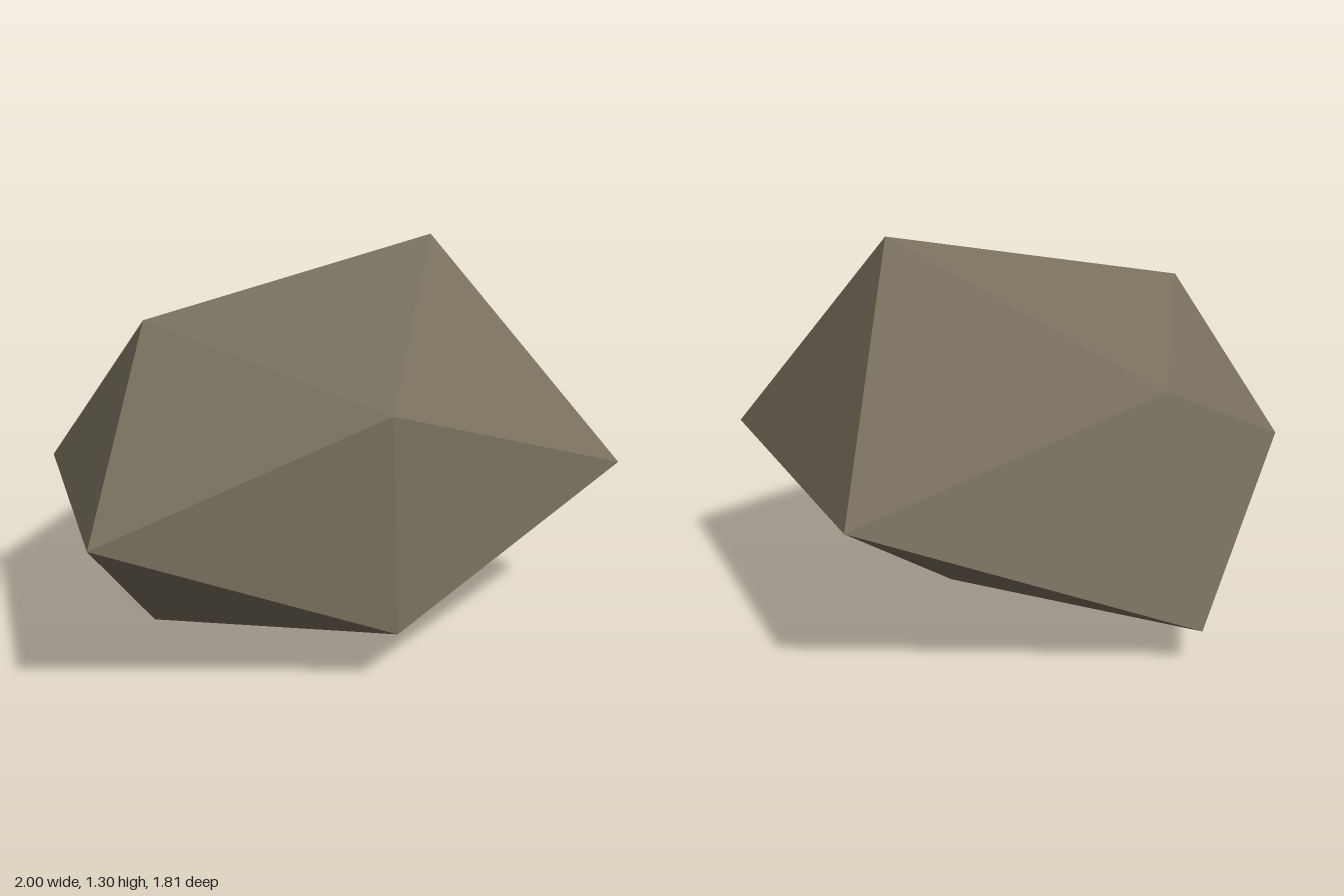
import * as THREE from 'three';

// A boulder: a squashed icosahedron whose corners are pushed in or out by their own radius.
const T = (1 + Math.sqrt(5)) / 2;
const CENTRE = new THREE.Vector3(-0.082, 0.537, 0.066);
const SQUASH = 0.7;

// Corner direction and its radius factor
const CORNERS = [
  [-1, T, 0, 0.485], [1, T, 0, 0.679], [-1, -T, 0, 0.473], [1, -T, 0, 0.467],
  [0, -1, T, 0.515], [0, 1, T, 0.482], [0, -1, -T, 0.602], [0, 1, -T, 0.45],
  [T, 0, -1, 0.665], [T, 0, 1, 0.656], [-T, 0, -1, 0.419], [-T, 0, 1, 0.568],
];

const FACES = [
  0, 11, 5, 0, 5, 1, 0, 1, 7, 0, 7, 10, 0, 10, 11,
  1, 5, 9, 5, 11, 4, 11, 10, 2, 10, 7, 6, 7, 1, 8,
  3, 9, 4, 3, 4, 2, 3, 2, 6, 3, 6, 8, 3, 8, 9,
  4, 9, 5, 2, 4, 11, 6, 2, 10, 8, 6, 7, 9, 8, 1,
];

export function createModel() {
  const stone = new THREE.MeshStandardMaterial({ color: 0x776e5c });
  stone.name = 'stone';

  const points = CORNERS.map(([x, y, z, r]) =>
    new THREE.Vector3(x, y * SQUASH, z).multiplyScalar(r).add(CENTRE));

  // Separate corners per face give flat facets
  const geometry = new THREE.BufferGeometry().setFromPoints(FACES.map((i) => points[i]));
  geometry.computeVertexNormals();

  // Stand the stone on the ground
  geometry.computeBoundingBox();
  geometry.translate(0, -geometry.boundingBox.min.y, 0);

  const boulder = new THREE.Mesh(geometry, stone);
  boulder.name = 'boulder';

  const group = new THREE.Group();
  group.name = 'rock';
  group.add(boulder);
  return group;
}
